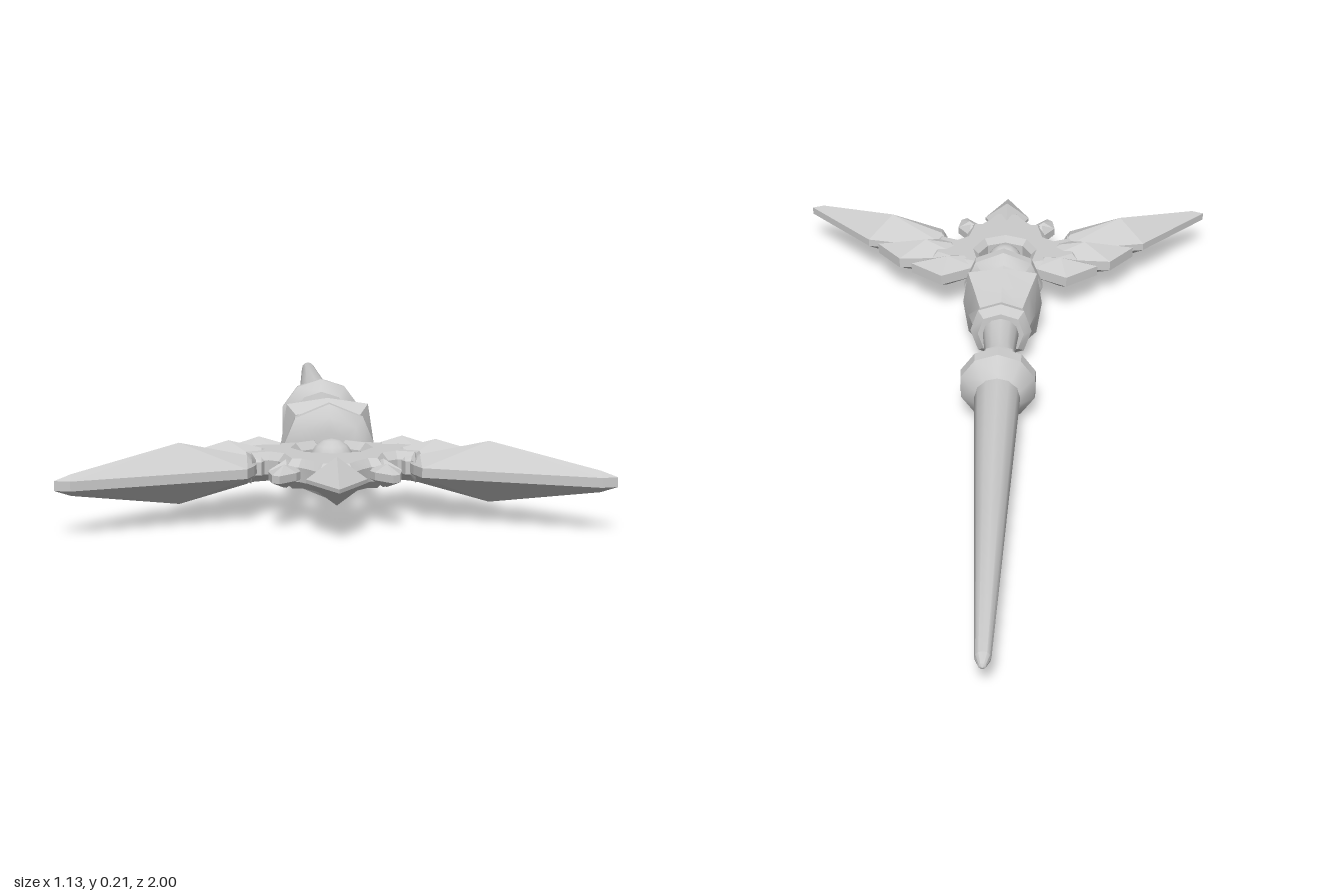
import * as THREE from 'three';
import { toCreasedNormals } from 'three/addons/utils/BufferGeometryUtils.js';
import { ConvexGeometry } from 'three/addons/geometries/ConvexGeometry.js';

const AXIS_Y = 0.107;
const material = new THREE.MeshStandardMaterial({ color: 0xcccccc });

function part(name, geometry) {
  const mesh = new THREE.Mesh(geometry, material);
  mesh.name = name;
  return mesh;
}

// Turned part along z, from [z, radius] pairs; corner(z) swells the diagonals.
function turned(name, profile, sides, crease = 0.6, corner = null) {
  const g = new THREE.LatheGeometry(profile.map(([z, r]) => new THREE.Vector2(r, z)), sides);
  g.rotateX(Math.PI / 2);
  if (corner) {
    const p = g.attributes.position;
    for (let i = 0; i < p.count; i++) {
      const x = p.getX(i), y = p.getY(i);
      const diagonal = Math.abs(Math.sin(2 * Math.atan2(y, x)));
      const s = 1 + diagonal * corner(p.getZ(i));
      p.setXY(i, x * s, y * s);
    }
  }
  return part(name, toCreasedNormals(g, crease));
}

// Faceted blade: a thin-edged outline of [x, z] with raised ridge points [x, z, height].
function blade(name, outline, ridge, edge, mirror = 1) {
  const points = [];
  for (const s of [-1, 1]) {
    for (const [x, z] of outline) points.push(new THREE.Vector3(x * mirror, s * edge, z));
    for (const [x, z, h] of ridge) points.push(new THREE.Vector3(x * mirror, s * h, z));
  }
  return part(name, new ConvexGeometry(points));
}

// Flat heart of the head, with the eye opening joined to the slot behind it.
function headPlate() {
  const half = [[0.02, 0.54], [0.075, 0.575], [0.13, 0.59], [0.2, 0.63], [0.2, 0.7],
    [0.17, 0.76], [0.16, 0.73], [0.135, 0.72], [0.115, 0.735], [0.105, 0.78],
    [0.1, 0.81], [0.075, 0.81], [0.055, 0.835], [0.035, 0.87]];
  const outline = [...half, ...half.slice().reverse().map(([x, z]) => [-x, z])];
  for (let i = 0; i <= 8; i++) {
    const a = -Math.PI / 2 - 0.3 - (i / 8) * (Math.PI * 2 - 0.6);
    outline.push([0.074 * Math.cos(a), 0.645 + 0.076 * Math.sin(a)]);
  }
  const shape = new THREE.Shape(outline.map(([x, z]) => new THREE.Vector2(x, z)));
  const bevel = 0.014;
  const g = new THREE.ExtrudeGeometry(shape, {
    depth: 0.03, bevelEnabled: true, bevelSegments: 1,
    bevelSize: bevel, bevelOffset: -bevel, bevelThickness: 0.016,
  });
  g.translate(0, 0, -0.015);
  g.rotateX(Math.PI / 2);
  return part('headPlate', toCreasedNormals(g, 0.5));
}

function wing(side) {
  const group = new THREE.Group();
  group.name = side > 0 ? 'leftWing' : 'rightWing';
  group.add(
    blade('shortFeather',
      [[0.08, 0.585], [0.17, 0.535], [0.255, 0.6], [0.195, 0.63], [0.11, 0.65]],
      [[0.155, 0.59, 0.045], [0.11, 0.61, 0.035]], 0.014, side),
    blade('middleFeather',
      [[0.11, 0.635], [0.2, 0.63], [0.29, 0.625], [0.355, 0.705], [0.275, 0.72], [0.15, 0.74]],
      [[0.22, 0.67, 0.05], [0.15, 0.68, 0.035]], 0.014, side),
    blade('longFeather',
      [[0.15, 0.69], [0.28, 0.715], [0.385, 0.735], [0.54, 0.9], [0.563, 0.917],
        [0.53, 0.925], [0.18, 0.8], [0.165, 0.76]],
      [[0.32, 0.785, 0.064], [0.18, 0.745, 0.03], [0.53, 0.908, 0.022]], 0.01, side),
    blade('smallLeaf',
      [[0.06, 0.79], [0.1, 0.795], [0.137, 0.815], [0.13, 0.86], [0.115, 0.872], [0.08, 0.835]],
      [[0.105, 0.825, 0.024]], 0.008, side),
    // Stub beside the centre leaf
    blade('sideSpur',
      [[0.105, 0.77], [0.137, 0.815], [0.1, 0.83], [0.065, 0.77]],
      [[0.1, 0.795, 0.03]], 0.01, side),
  );
  return group;
}

export function createModel() {
  const model = new THREE.Group();
  model.name = 'wand';
  const body = new THREE.Group();
  body.name = 'body';
  body.position.y = AXIS_Y;
  model.add(body);

  // Shaft and its collars
  body.add(
    turned('shaft', [[-1, 0], [-0.995, 0.008], [-0.97, 0.018], [-0.5, 0.037], [-0.02, 0.057], [0, 0.057]], 12),
    turned('knob', [[-0.03, 0.05], [-0.02, 0.064], [0.02, 0.097], [0.05, 0.099], [0.08, 0.072], [0.088, 0.04]], 10),
    turned('collar', [[0.08, 0.04], [0.085, 0.05], [0.1, 0.057], [0.125, 0.057], [0.14, 0.045], [0.142, 0.03]], 10),
    turned('neck', [[0.13, 0.042], [0.18, 0.039], [0.28, 0.048]], 12),
  );

  // Cup with square corners at the mouth, and the ring seated in it
  const cupCorners = (z) => 0.06 + 0.17 * THREE.MathUtils.smoothstep(z, 0.3, 0.42);
  body.add(
    turned('cup', [[0.265, 0], [0.268, 0.06], [0.285, 0.08], [0.305, 0.074], [0.36, 0.088],
      [0.425, 0.105], [0.462, 0.083], [0.465, 0]], 8, 0.5, cupCorners),
    turned('ring', [[0.455, 0], [0.46, 0.075], [0.48, 0.082], [0.505, 0.106], [0.53, 0.106],
      [0.555, 0.08], [0.562, 0.05], [0.562, 0]], 8, 0.7),
  );

  // Head: plate, eye, centre leaf and mirrored wings
  const eye = part('eye', new THREE.SphereGeometry(0.048, 12, 8));
  eye.position.z = 0.645;
  body.add(
    headPlate(),
    eye,
    blade('centreLeaf',
      [[0, 0.8], [0.035, 0.83], [0.062, 0.885], [0, 0.998], [-0.062, 0.885], [-0.035, 0.83]],
      [[0, 0.885, 0.05], [0, 0.82, 0.032]], 0.004),
    wing(1),
    wing(-1),
  );
  return model;
}
